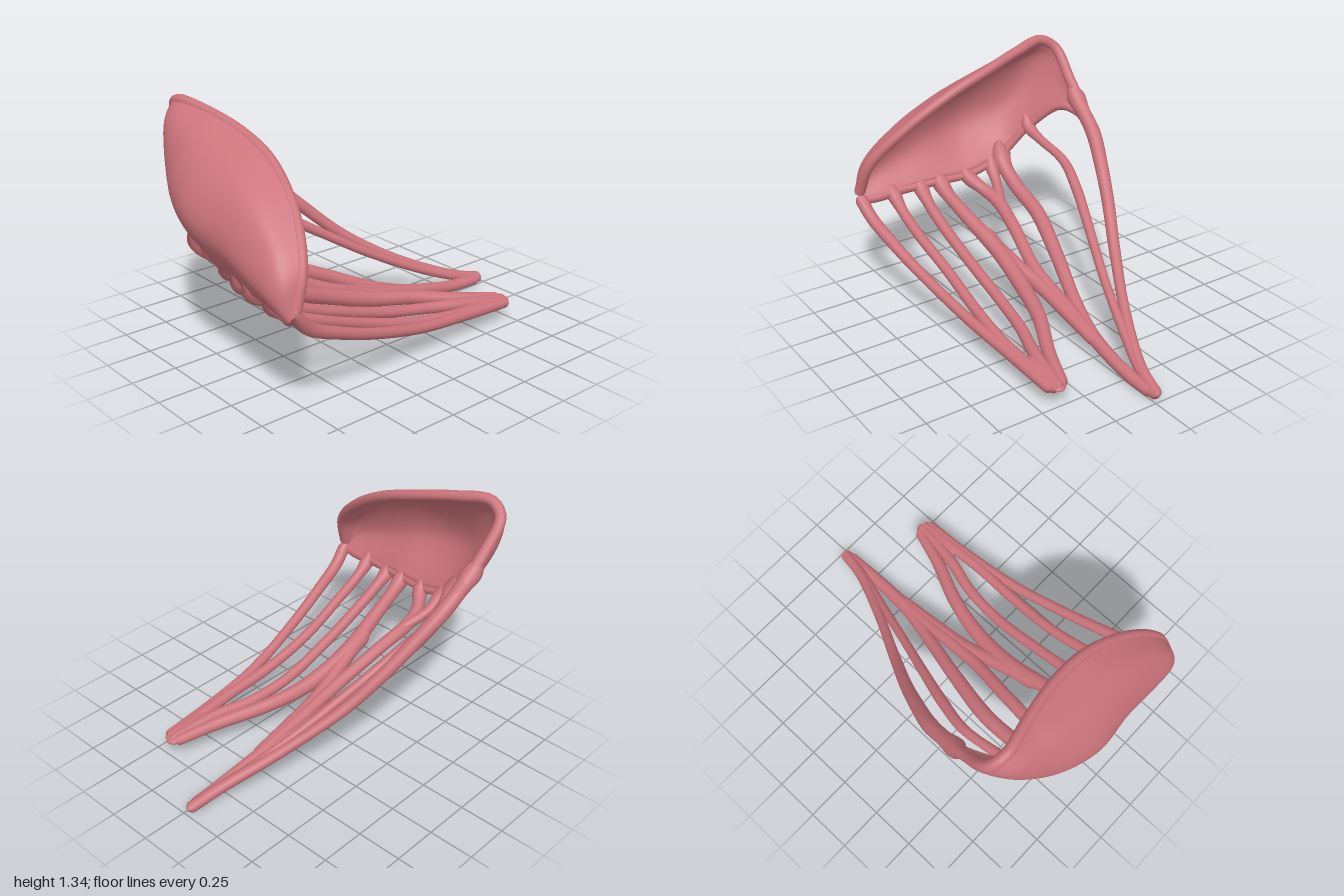
import * as THREE from 'three';

const tissue = new THREE.MeshStandardMaterial({ color: 0xcb737b });
tissue.name = 'rose tissue';

const spline = (pts) => new THREE.CatmullRomCurve3(pts.map((p) => new THREE.Vector3(...p)));

// Round strand with changing thickness and rounded ends; a rooted one grows thin out of
// the sheet and flares where it leaves the edge
function strand(name, pts, radii, rooted = false) {
  const segs = 96, sides = 12;
  const curve = spline(pts), length = curve.getLength();
  // Sections crowd toward both ends so that the ends come out round
  const ease = (u) => 0.5 - 0.5 * Math.cos(Math.PI * u);
  const map = curve.getUtoTmapping.bind(curve);
  curve.getUtoTmapping = (u, d) => map(ease(u), d);
  const geo = new THREE.TubeGeometry(curve, segs, 1, sides);
  const pos = geo.attributes.position, p = new THREE.Vector3();
  for (let i = 0; i <= segs; i++) {
    const t = ease(i / segs), c = curve.getPointAt(i / segs);
    const f = t * (radii.length - 1), k = Math.min(Math.floor(f), radii.length - 2);
    let r = THREE.MathUtils.lerp(radii[k], radii[k + 1], f - k);
    const start = t * length, end = (1 - t) * length;
    const startLength = rooted ? 0.1 : r;
    if (end < r) r *= Math.sqrt(Math.max(0.0005, 1 - (1 - end / r) ** 2));
    if (start < startLength) r *= Math.sqrt(Math.max(0.0005, 1 - (1 - start / startLength) ** 2));
    if (rooted) r *= 1 + 0.4 * Math.exp(-(((start - 0.09) / 0.07) ** 2));
    for (let j = 0; j <= sides; j++) {
      const n = i * (sides + 1) + j;
      p.fromBufferAttribute(pos, n).sub(c).multiplyScalar(r).add(c);
      pos.setXYZ(n, p.x, p.y, p.z);
    }
  }
  const mesh = new THREE.Mesh(geo, tissue);
  mesh.name = name;
  return mesh;
}

const cord = (name, pts, radii) => strand(name, pts, radii, true);

// Leaflet stations from front to back; each runs from upper rim to free edge
const stations = [
  [[-0.885, 0.575, 0.614], [-0.895, 0.567, 0.612], [-0.90, 0.557, 0.608], [-0.89, 0.54, 0.60]],
  [[-0.81, 0.77, 0.575], [-0.91, 0.73, 0.555], [-0.94, 0.64, 0.535], [-0.87, 0.54, 0.50]],
  [[-0.71, 0.975, 0.39], [-0.87, 0.91, 0.38], [-0.95, 0.72, 0.37], [-0.86, 0.55, 0.36]],
  [[-0.65, 1.14, 0.14], [-0.86, 1.03, 0.15], [-0.95, 0.80, 0.15], [-0.83, 0.56, 0.15]],
  [[-0.65, 1.23, -0.10], [-0.86, 1.11, -0.10], [-0.97, 0.86, -0.10], [-0.80, 0.57, -0.08]],
  [[-0.69, 1.29, -0.33], [-0.83, 1.18, -0.33], [-0.91, 0.92, -0.32], [-0.79, 0.64, -0.27]],
  [[-0.73, 1.315, -0.52], [-0.79, 1.21, -0.53], [-0.81, 1.00, -0.48], [-0.73, 0.80, -0.42]],
  [[-0.70, 1.26, -0.605], [-0.68, 1.19, -0.615], [-0.67, 1.07, -0.585], [-0.59, 0.95, -0.55]],
  [[-0.56, 1.10, -0.612], [-0.55, 1.07, -0.612], [-0.52, 1.01, -0.605], [-0.48, 0.95, -0.59]],
  [[-0.36, 0.925, -0.598], [-0.357, 0.92, -0.598], [-0.353, 0.912, -0.597], [-0.35, 0.905, -0.595]],
];

// Curved sheet: rows interpolate the stations, and both faces are offset along the normal
function leafletGeometry() {
  const U = 80, V = 28, half = 0.022;
  const rows = [0, 1, 2, 3].map((k) => spline(stations.map((s) => s[k])));
  const grid = [];
  for (let i = 0; i <= U; i++) {
    const across = new THREE.CatmullRomCurve3(rows.map((r) => r.getPoint(i / U)));
    grid.push(Array.from({ length: V + 1 }, (_, j) => across.getPoint(j / V)));
  }
  const positions = [], index = [], ring = 2 * (V + 1);
  for (let i = 0; i <= U; i++) {
    const outer = [], inner = [];
    for (let j = 0; j <= V; j++) {
      const du = grid[Math.min(i + 1, U)][j].clone().sub(grid[Math.max(i - 1, 0)][j]);
      const dv = grid[i][Math.min(j + 1, V)].clone().sub(grid[i][Math.max(j - 1, 0)]);
      const n = du.cross(dv).normalize().multiplyScalar(half);
      outer.push(grid[i][j].clone().add(n));
      inner.unshift(grid[i][j].clone().sub(n));
    }
    for (const p of [...outer, ...inner]) positions.push(p.x, p.y, p.z);
  }
  for (let i = 0; i < U; i++) {
    for (let j = 0; j < ring; j++) {
      const a = i * ring + j, b = i * ring + (j + 1) % ring;
      index.push(a, a + ring, b + ring, a, b + ring, b);
    }
  }
  const geo = new THREE.BufferGeometry();
  geo.setAttribute('position', new THREE.Float32BufferAttribute(positions, 3));
  geo.setIndex(index);
  geo.computeVertexNormals();
  return geo;
}

export function createModel() {
  const model = new THREE.Group();
  model.name = 'valveLeaflet';

  const sheet = new THREE.Mesh(leafletGeometry(), tissue);
  sheet.name = 'leafletSheet';
  model.add(sheet);

  // Rolled borders of the sheet
  model.add(
    strand('upperRim', stations.map((s) => s[0]), [0.032, 0.028, 0.028, 0.03, 0.032]),
    strand('freeEdge', stations.map((s) => s[3]), [0.03, 0.026, 0.025, 0.025, 0.028]),
  );

  // Cords gathering at the long rear tip
  const tip = [0.99, 0.034, -0.022];
  model.add(
    cord('backCord', [[-0.56, 1.08, -0.61], [-0.45, 0.985, -0.6], [-0.3, 0.872, -0.583], [-0.15, 0.735, -0.53], [0, 0.59, -0.465],
      [0.2, 0.405, -0.36], [0.5, 0.215, -0.2], [0.8, 0.085, -0.065], tip], [0.036, 0.042, 0.036, 0.032, 0.028, 0.03, 0.03]),
    cord('secondCord', [[-0.78, 0.89, -0.445], [-0.72, 0.805, -0.43], [-0.62, 0.76, -0.437], [-0.4, 0.695, -0.45], [-0.2, 0.6, -0.4],
      [0, 0.48, -0.33], [0.3, 0.3, -0.22], [0.6, 0.155, -0.12], [0.8, 0.08, -0.055], [0.95, 0.04, -0.025]],
    [0.03, 0.026, 0.03, 0.026, 0.024, 0.026, 0.026]),
    cord('thirdCord', [[-0.84, 0.73, -0.285], [-0.77, 0.6, -0.275], [-0.62, 0.495, -0.275], [-0.4, 0.42, -0.265], [-0.1, 0.295, -0.19],
      [0.2, 0.165, -0.1], [0.45, 0.095, -0.04], [0.7, 0.05, -0.02], tip], [0.044, 0.042, 0.042, 0.038, 0.034, 0.032, 0.03]),
    cord('fourthCord', [[-0.85, 0.62, -0.03], [-0.79, 0.55, -0.05], [-0.71, 0.49, -0.1], [-0.6, 0.45, -0.125], [-0.4, 0.38, -0.1],
      [-0.1, 0.25, -0.045], [0.2, 0.165, -0.035], [0.45, 0.1, -0.025], [0.75, 0.045, -0.01], [0.95, 0.032, -0.01]],
    [0.028, 0.038, 0.036, 0.036, 0.036, 0.034, 0.028]),
    cord('fourthCordFork', [[-0.83, 0.66, -0.22], [-0.77, 0.58, -0.2], [-0.7, 0.515, -0.185], [-0.55, 0.44, -0.12]], [0.028, 0.028, 0.03]),
    cord('crossingCord', [[-0.5, 0.385, 0.08], [-0.2, 0.275, 0.035], [0, 0.21, 0], [0.2, 0.16, -0.01], [0.5, 0.09, -0.01]],
      [0.03, 0.04, 0.04, 0.036, 0.028]),
  );

  // Cords gathering at the short front tip
  model.add(
    cord('fifthCord', [[-0.88, 0.62, 0.12], [-0.83, 0.55, 0.12], [-0.75, 0.495, 0.115], [-0.6, 0.43, 0.1], [-0.3, 0.315, 0.07],
      [0, 0.22, 0.1], [0.25, 0.18, 0.17], [0.5, 0.14, 0.285], [0.735, 0.108, 0.365]], [0.034, 0.038, 0.045, 0.045, 0.04, 0.036, 0.028]),
    cord('sixthCord', [[-0.9, 0.615, 0.24], [-0.85, 0.545, 0.24], [-0.75, 0.475, 0.245], [-0.6, 0.4, 0.247], [-0.3, 0.285, 0.245],
      [0, 0.195, 0.25], [0.25, 0.155, 0.285], [0.45, 0.14, 0.345], [0.75, 0.106, 0.395]], [0.032, 0.032, 0.031, 0.031, 0.031, 0.033, 0.028]),
    cord('seventhCord', [[-0.91, 0.61, 0.42], [-0.86, 0.54, 0.41], [-0.76, 0.465, 0.408], [-0.6, 0.39, 0.405], [-0.3, 0.275, 0.39],
      [0, 0.19, 0.405], [0.3, 0.145, 0.425], [0.55, 0.12, 0.42], [0.75, 0.104, 0.415]], [0.03, 0.03, 0.029, 0.03, 0.03, 0.032, 0.028]),
    strand('frontCord', [[-0.885, 0.57, 0.612], [-0.78, 0.47, 0.595], [-0.6, 0.385, 0.57], [-0.4, 0.305, 0.54], [-0.1, 0.21, 0.495],
      [0.1, 0.165, 0.47], [0.4, 0.13, 0.445], [0.73, 0.103, 0.435]], [0.036, 0.033, 0.03, 0.029, 0.03, 0.032, 0.028]),
  );

  // Flattened pad that joins the front cords
  const pad = new THREE.Mesh(new THREE.SphereGeometry(1, 32, 20), tissue);
  pad.name = 'frontTipPad';
  pad.scale.set(0.15, 0.028, 0.07);
  pad.position.set(0.615, 0.119, 0.392);
  pad.rotation.z = -0.13;
  model.add(pad);
  return model;
}
